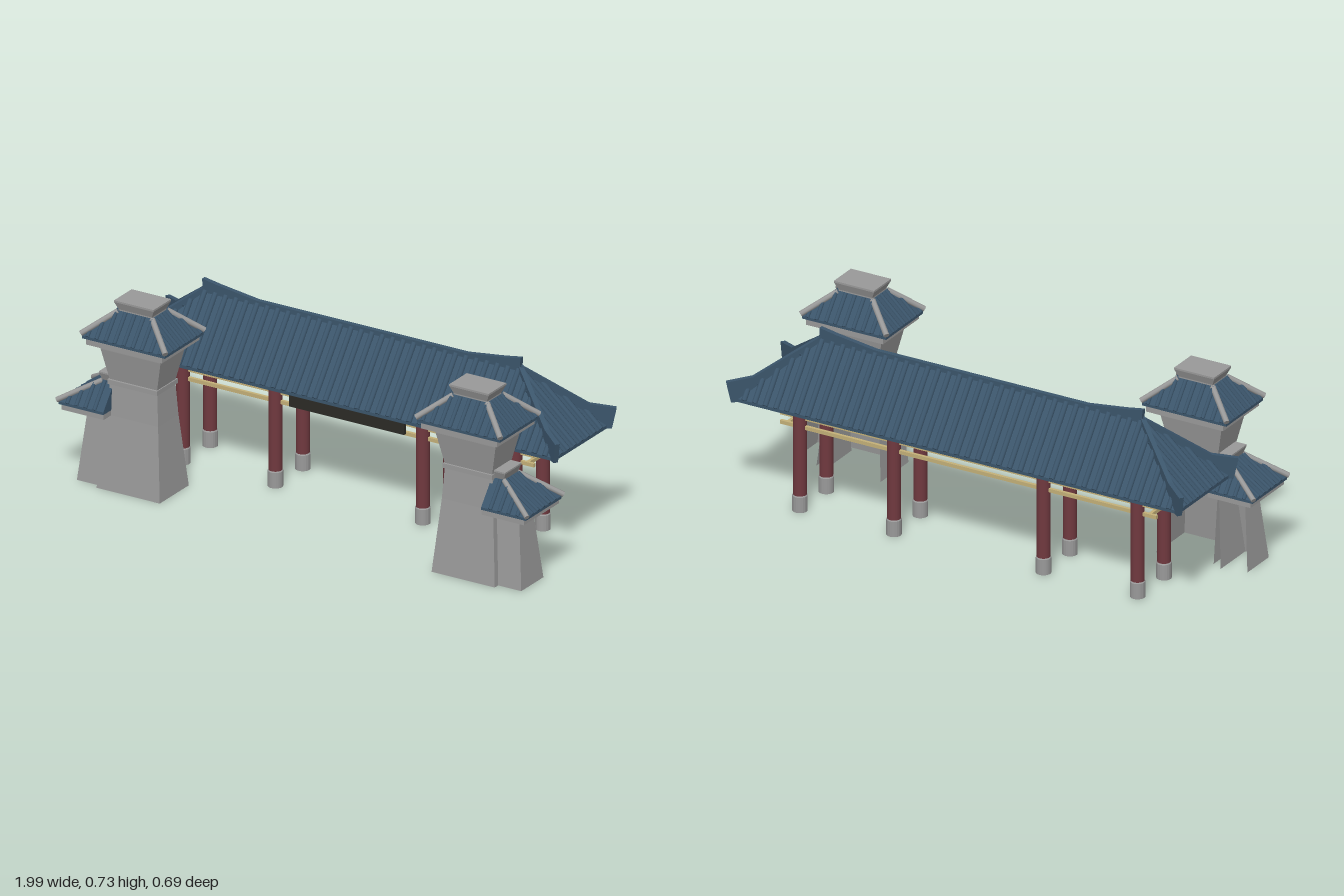
import * as THREE from 'three';
import { mergeGeometries } from 'three/addons/utils/BufferGeometryUtils.js';

const mat = (name, color, side = THREE.FrontSide) => {
  const m = new THREE.MeshStandardMaterial({ color, side });
  m.name = name;
  return m;
};

export function createModel() {
  const tile = mat('blue tile', 0x3b556b);
  const stone = mat('grey stone', 0x999999, THREE.DoubleSide);
  const red = mat('red column', 0x70393f);
  const wood = mat('pale timber', 0xc4b078);
  const dark = mat('dark board', 0x2b2a26);
  const model = new THREE.Group();
  model.name = 'gateway';

  const add = (parent, name, geo, material) => {
    const m = new THREE.Mesh(geo, material);
    m.name = name;
    parent.add(m);
    return m;
  };
  const box = (w, h, d, x, y, z) => new THREE.BoxGeometry(w, h, d).translate(x, y, z);

  // Stack of rectangles [y, xMin, xMax, zMin, zMax] joined into flat walls; openBack leaves the -z wall out
  function loft(rings, { openBack = false, bottom = true } = {}) {
    const pos = [];
    const corners = ([y, a, b, c, d]) => [[a, y, d], [b, y, d], [b, y, c], [a, y, c]];
    const quad = (p, q, r, s) => pos.push(...p, ...q, ...r, ...p, ...r, ...s);
    for (let i = 0; i < rings.length - 1; i++) {
      const lo = corners(rings[i]), hi = corners(rings[i + 1]);
      for (let k = 0; k < 4; k++) {
        if (openBack && k === 2) continue;
        const n = (k + 1) % 4;
        quad(lo[k], lo[n], hi[n], hi[k]);
      }
    }
    quad(...corners(rings[rings.length - 1]));
    if (bottom) quad(...corners(rings[0]).reverse());
    const g = new THREE.BufferGeometry();
    g.setAttribute('position', new THREE.Float32BufferAttribute(pos, 3));
    g.computeVertexNormals();
    return g;
  }

  // Round bar between two points
  function rod(a, b, r, sides = 8) {
    const A = new THREE.Vector3(...a), B = new THREE.Vector3(...b), d = B.clone().sub(A);
    const g = new THREE.CylinderGeometry(r, r, d.length(), sides);
    g.applyQuaternion(new THREE.Quaternion().setFromUnitVectors(new THREE.Vector3(0, 1, 0), d.normalize()));
    return g.translate(...A.add(B).multiplyScalar(0.5).toArray());
  }

  // Tile ribs on a hipped roof with eave half sizes X, Z and top half sizes x, z.
  // half = +1 or -1 keeps only that side of the centre line.
  function ribs({ cx, cz, X, Z, x, z, y0, y1, step, r, half = 0 }) {
    const list = [];
    const rise = (f) => y0 + (y1 - y0) * f;
    const climb = (p, E, t) => (Math.abs(p) <= t ? 1 : (E - Math.abs(p)) / (E - t));
    const nx = Math.floor((X - r) / step), nz = Math.floor((Z - r) / step);
    for (let i = -nx; i <= nx; i++) {
      const p = i * step, f = climb(p, X, x);
      if (half && p * half < r) continue;
      for (const s of [-1, 1]) {
        list.push(rod([cx + p, y0, cz + s * Z], [cx + p, rise(f), cz + s * (Z - (Z - z) * f)], r));
      }
    }
    for (let i = -nz; i <= nz; i++) {
      const p = i * step, f = climb(p, Z, z);
      for (const s of half ? [half] : [-1, 1]) {
        list.push(rod([cx + s * X, y0, cz + p], [cx + s * (X - (X - x) * f), rise(f), cz + p], r));
      }
    }
    return mergeGeometries(list);
  }

  // ---- Gate roof ----
  const rz = -0.145;
  const gate = new THREE.Group();
  gate.name = 'gateRoof';
  model.add(gate);
  const R = { cx: 0, cz: rz, X: 0.92, Z: 0.18, x: 0.665, z: 0.004, y0: 0.422, y1: 0.645 };
  const ring = (y, hx, hz) => [y, -hx, hx, rz - hz, rz + hz];
  add(gate, 'roofSlopes', loft([ring(0.41, R.X, R.Z), ring(R.y0, R.X, R.Z), ring(R.y1, R.x, R.z)]), tile);
  add(gate, 'roofRibs', ribs({ ...R, step: 0.044, r: 0.011 }), tile);

  // Upright plate cut from a profile
  const plate = (pts, t) => new THREE.ExtrudeGeometry(
    new THREE.Shape(pts.map((p) => new THREE.Vector2(...p))), { depth: t, bevelEnabled: false }).translate(0, 0, -t / 2);
  add(gate, 'mainRidge', plate([[-0.665, 0.62], [0.665, 0.62], [0.67, 0.69], [0.6, 0.678], [0.44, 0.657],
    [-0.44, 0.657], [-0.6, 0.678], [-0.67, 0.69]], 0.018).translate(0, 0, rz), tile);
  const hip = [[0, 0.6], [0.29, 0.41], [0.325, 0.41], [0.342, 0.488], [0.245, 0.506], [0, 0.66]];
  for (const sx of [-1, 1]) for (const sz of [-1, 1]) {
    const g = plate(hip, 0.018).rotateY(Math.atan2(-sz * R.Z, sx * (R.X - R.x))).translate(sx * R.x, 0, rz);
    add(gate, 'hipRidge', g, tile);
  }

  // ---- Columns ----
  for (const x of [-0.7, -0.31, 0.31, 0.7]) for (const z of [-0.055, -0.238]) {
    add(model, 'column', new THREE.CylinderGeometry(0.025, 0.025, 0.35, 20).translate(x, 0.235, z), red);
    add(model, 'columnBase', new THREE.LatheGeometry([[0, 0], [0.028, 0], [0.028, 0.06], [0.025, 0.064], [0, 0.064]]
      .map((p) => new THREE.Vector2(...p)), 20).toNonIndexed().translate(x, 0, z), stone).geometry.computeVertexNormals();
  }

  // ---- Timber frames ----
  for (const [y, hx, hz, h] of [[0.404, 0.82, 0.115, 0.012], [0.367, 0.78, 0.093, 0.014], [0.33, 0.78, 0.093, 0.014]]) {
    for (const s of [-1, 1]) {
      add(model, 'longBeam', box(2 * hx, h, 0.012, 0, y, rz - 0.002 + s * (hz - 0.002)), wood);
      add(model, 'crossBeam', box(0.012, h, 2 * hz, s * (hx - 0.03), y, rz - 0.002), wood);
    }
  }
  add(model, 'nameBoard', box(0.485, 0.065, 0.012, 0, 0.362, -0.043), dark);

  // ---- Stone towers ----
  const tz = 0.205;
  for (const s of [-1, 1]) {
    const tower = new THREE.Group();
    tower.name = s > 0 ? 'leftTower' : 'rightTower';
    model.add(tower);
    const c = s * 0.705, m = s * 0.795;
    const full = (y, hx, hz) => [y, c - hx, c + hx, tz - hz, tz + hz];
    // outer half only, cut at the main tower
    const half = (y, hx, hz) => [y, Math.min(m, m + s * hx), Math.max(m, m + s * hx), tz - hz, tz + hz];

    add(tower, 'mainShaft', loft([full(0, 0.133, 0.097), full(0.28, 0.108, 0.068), full(0.4, 0.1, 0.061)],
      { openBack: true, bottom: false }), stone);
    add(tower, 'collar', loft([full(0.4, 0.104, 0.07), full(0.418, 0.104, 0.07)]), stone);
    add(tower, 'upperShaft', loft([full(0.418, 0.1, 0.062), full(0.535, 0.126, 0.081), full(0.56, 0.13, 0.082)]), stone);
    add(tower, 'mainEave', loft([full(0.56, 0.16, 0.125), full(0.582, 0.16, 0.125)]), stone);
    add(tower, 'mainRoof', loft([full(0.582, 0.174, 0.128), full(0.592, 0.174, 0.128), full(0.685, 0.075, 0.052)]), tile);
    add(tower, 'mainRibs', ribs({ cx: c, cz: tz, X: 0.174, Z: 0.128, x: 0.075, z: 0.052, y0: 0.592, y1: 0.685,
      step: 0.038, r: 0.008 }), tile);
    add(tower, 'mainCap', loft([full(0.675, 0.07, 0.049), full(0.69, 0.07, 0.049), full(0.718, 0.083, 0.059),
      full(0.725, 0.083, 0.059)]), stone);

    add(tower, 'sideShaft', loft([half(0, 0.14, 0.074), half(0.28, 0.112, 0.044)],
      { openBack: true, bottom: false }), stone);
    add(tower, 'sideEave', loft([half(0.28, 0.178, 0.117), half(0.3, 0.178, 0.117)]), stone);
    add(tower, 'sideRoof', loft([half(0.3, 0.188, 0.12), half(0.31, 0.188, 0.12), half(0.4, 0.055, 0.048)]), tile);
    add(tower, 'sideRibs', ribs({ cx: m, cz: tz, X: 0.188, Z: 0.12, x: 0.055, z: 0.048, y0: 0.31, y1: 0.4,
      step: 0.038, r: 0.008, half: s }), tile);
    add(tower, 'sideCap', loft([half(0.39, 0.05, 0.045), half(0.4, 0.05, 0.045), half(0.427, 0.06, 0.055),
      half(0.433, 0.06, 0.055)]), stone);

    // Stone hip bars
    for (const k of [-1, 1]) {
      for (const q of [-1, 1]) {
        add(tower, 'mainHip', rod([c + q * 0.072, 0.683, tz + k * 0.05], [c + q * 0.178, 0.601, tz + k * 0.131], 0.011), stone);
      }
      add(tower, 'sideHip', rod([m + s * 0.05, 0.398, tz + k * 0.045], [m + s * 0.195, 0.316, tz + k * 0.123], 0.01), stone);
    }
  }
  return model;
}
